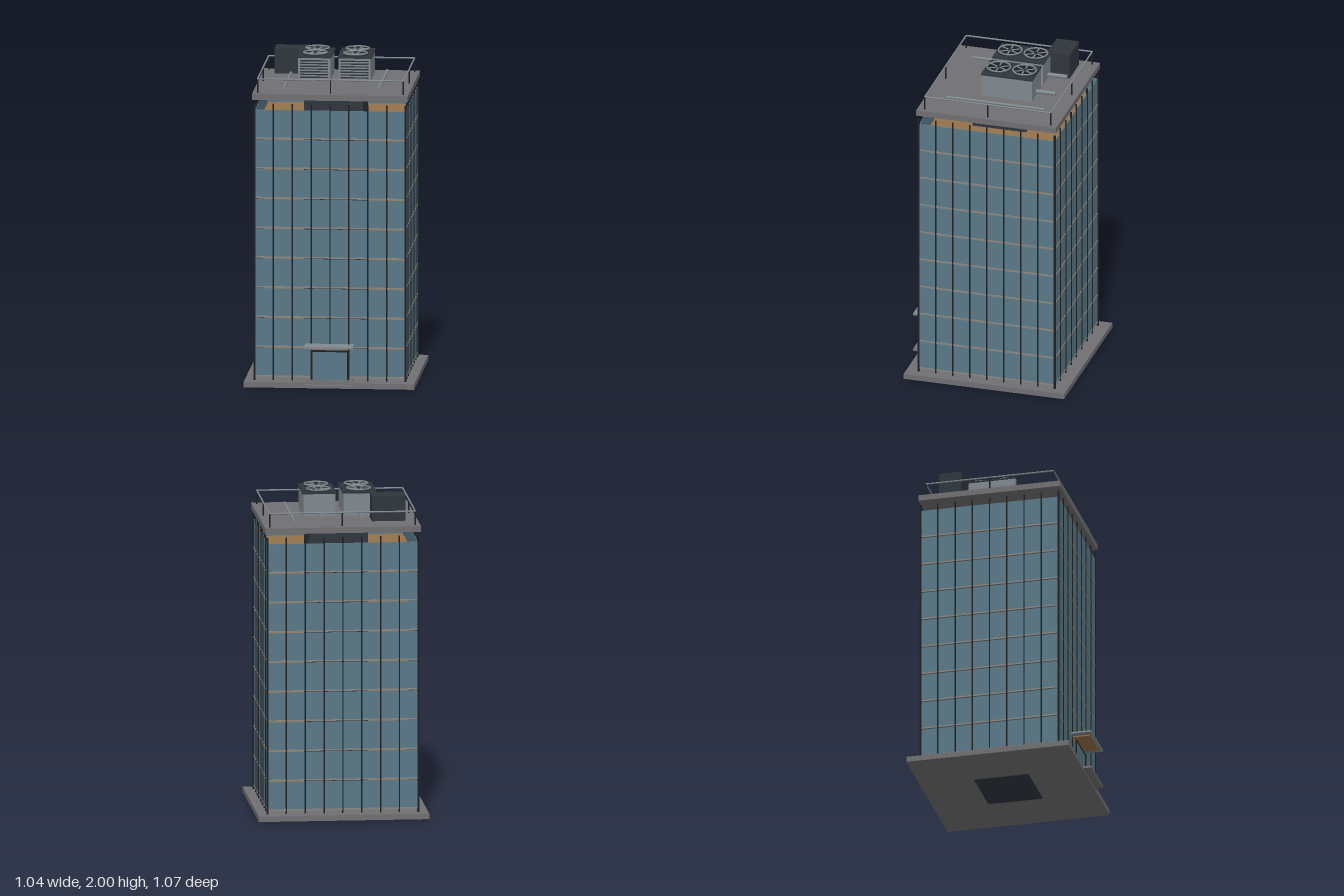
import * as THREE from 'three';

const mat = (color) => new THREE.MeshStandardMaterial({ color });

export function createModel() {
  const model = new THREE.Group();
  const concrete = mat(0x707073), glass = mat(0x5a7888), frame = mat(0x1d2023);
  const dark = mat(0x30353d), metal = mat(0x7f888e), tan = mat(0x94714a), slabGrey = mat(0x8a8680);

  // Box given by its min/max extents on each axis
  const box = (name, m, x0, x1, y0, y1, z0, z1, parent = model) => {
    const mesh = new THREE.Mesh(new THREE.BoxGeometry(x1 - x0, y1 - y0, z1 - z0), m);
    mesh.position.set((x0 + x1) / 2, (y0 + y1) / 2, (z0 + z1) / 2);
    mesh.name = name;
    parent.add(mesh);
    return mesh;
  };
  // Round bar between two points
  const bar = (name, m, a, b, r, parent = model) => {
    const p = new THREE.Vector3(...a), q = new THREE.Vector3(...b);
    const mesh = new THREE.Mesh(new THREE.CylinderGeometry(r, r, p.distanceTo(q), 12), m);
    mesh.position.copy(p).add(q).multiplyScalar(0.5);
    mesh.quaternion.setFromUnitVectors(new THREE.Vector3(0, 1, 0), q.sub(p).normalize());
    mesh.name = name;
    parent.add(mesh);
  };
  const group = (name) => {
    const g = new THREE.Group();
    g.name = name;
    model.add(g);
    return g;
  };

  const W = 0.46, ZF = 0.408, ZB = -0.455;

  // Ground slab, service core and roof slab
  box('baseSlab', concrete, -0.52, 0.52, 0.006, 0.04, -0.53, 0.485);
  box('core', dark, -0.18, 0.18, 0, 1.742, -0.19, 0.15);
  box('roofSlab', concrete, -0.475, 0.475, 1.77, 1.806, -0.466, 0.42);

  // Storeys: glass walls, floor edge strips and tan ceilings
  const floors = group('storeys');
  const floorH = 0.1835, t = 0.005;
  for (let i = 0; i < 9; i++) {
    const y0 = 0.06 + i * floorH, y1 = y0 + floorH - 0.005;
    box('frontGlass', glass, -W, W, y0, y1, ZF - t, ZF, floors);
    box('backGlass', glass, -W, W, y0, y1, ZB, ZB + t, floors);
    for (const s of [-1, 1]) {
      const x = s * (W - t / 2);
      box('sideGlass', glass, x - t / 2, x + t / 2, y0, y1, ZB + t, ZF - t, floors);
    }
    box('floorEdge', slabGrey, -W - 0.003, W + 0.003, y0, y0 + 0.009, ZB - 0.003, ZF + 0.003, floors);
    box('ceiling', tan, -W + 0.01, W - 0.01, y0 + 0.065, y0 + 0.075, ZB + 0.01, ZF - 0.01, floors);
  }

  // Vertical mullions, eight bays per side
  const mullions = group('mullions');
  const post = (x, z, r, y0 = 0.04) => box('mullion', frame, x - r, x + r, y0, 1.745, z - r, z + r, mullions);
  for (let i = 0; i <= 8; i++) {
    const r = i % 8 === 0 ? 0.006 : 0.004;
    const x = -W + (2 * W * i) / 8, z = ZB + ((ZF - ZB) * i) / 8;
    post(x, ZF, r, i === 4 ? 0.26 : 0.04);
    post(x, ZB, r);
    if (i % 8) {
      post(-W, z, r);
      post(W, z, r);
    }
  }

  // Entrance: steps, framed door and canopy
  const entrance = group('entrance');
  box('lowerStep', concrete, -0.15, 0.15, 0.016, 0.031, 0.41, 0.535, entrance);
  box('upperStep', concrete, -0.14, 0.14, 0.036, 0.05, 0.38, 0.46, entrance);
  box('doorGlass', glass, -0.105, 0.105, 0.05, 0.225, 0.43, 0.434, entrance);
  for (const s of [-1, 1]) {
    box('doorFrame', frame, s * 0.11 - 0.005, s * 0.11 + 0.005, 0.05, 0.232, 0.428, 0.436, entrance);
  }
  box('doorHead', frame, -0.115, 0.115, 0.222, 0.232, 0.428, 0.436, entrance);
  box('canopy', metal, -0.15, 0.15, 0.257, 0.268, 0.408, 0.535, entrance);
  box('canopyLight', tan, -0.11, 0.11, 0.25, 0.257, 0.415, 0.52, entrance);

  // Roof railing
  const railing = group('railing');
  const RX = 0.445, RF = 0.373, RB = -0.425, RY = 1.89;
  for (const z of [RF, RB]) bar('rail', metal, [-RX, RY, z], [RX, RY, z], 0.005, railing);
  for (const x of [-RX, RX]) bar('rail', metal, [x, RY, RB], [x, RY, RF], 0.005, railing);
  for (const x of [-RX, 0, RX]) {
    for (const z of [RF, (RF + RB) / 2, RB]) {
      if (x === 0 && z !== RF && z !== RB) continue;
      bar('railPost', frame, [x, 1.806, z], [x, RY, z], 0.0045, railing);
    }
  }

  // Cooling units with louvres and twin fans
  for (const cx of [-0.124, 0.121]) {
    const unit = group('coolingUnit');
    box('unitBody', metal, cx - 0.098, cx + 0.098, 1.835, 1.972, -0.238, 0.08, unit);
    box('unitTop', dark, cx - 0.103, cx + 0.103, 1.972, 1.981, -0.241, 0.084, unit);
    for (let i = 0; i < 7; i++) {
      const y = 1.85 + i * 0.017;
      box('louvre', dark, cx - 0.085, cx + 0.085, y, y + 0.007, 0.078, 0.086, unit);
    }
    for (const cz of [-0.163, 0]) {
      const fan = new THREE.Group();
      fan.name = 'fan';
      fan.position.set(cx, 1.981, cz);
      unit.add(fan);
      const well = new THREE.Mesh(new THREE.CylinderGeometry(0.07, 0.07, 0.006, 32), frame);
      well.name = 'fanWell';
      well.position.y = 0.003;
      const ring = new THREE.Mesh(new THREE.TorusGeometry(0.071, 0.005, 8, 36), metal);
      ring.name = 'fanRing';
      ring.rotation.x = Math.PI / 2;
      ring.position.y = 0.013;
      const wall = new THREE.Mesh(new THREE.CylinderGeometry(0.073, 0.073, 0.014, 32, 1, true),
        new THREE.MeshStandardMaterial({ color: 0x30353d, side: THREE.DoubleSide }));
      wall.name = 'fanShroud';
      wall.position.y = 0.007;
      const hub = new THREE.Mesh(new THREE.CylinderGeometry(0.012, 0.012, 0.012, 16), dark);
      hub.name = 'fanHub';
      hub.position.y = 0.012;
      fan.add(well, ring, wall, hub);
      for (let k = 0; k < 6; k++) {
        const blade = new THREE.Mesh(new THREE.BoxGeometry(0.052, 0.003, 0.009), metal);
        const a = Math.PI / 6 * (2 * k);
        blade.name = 'fanBlade';
        blade.position.set(Math.cos(a) * 0.038, 0.011, Math.sin(a) * 0.038);
        blade.rotation.set(0, -a, 0);
        fan.add(blade);
      }
    }
    bar('unitPipe', metal, [cx, 1.86, -0.238], [cx, 1.86, -0.36], 0.013, unit);
  }

  // Plant box and pipe runs on the roof
  box('plantBox', dark, -0.392, -0.187, 1.82, 1.975, -0.358, -0.215);
  bar('roofPipe', metal, [-0.29, 1.827, -0.22], [-0.29, 1.827, 0.285], 0.008);
  bar('roofPipe', metal, [0.286, 1.827, -0.34], [0.286, 1.827, 0.285], 0.008);

  return model;
}
